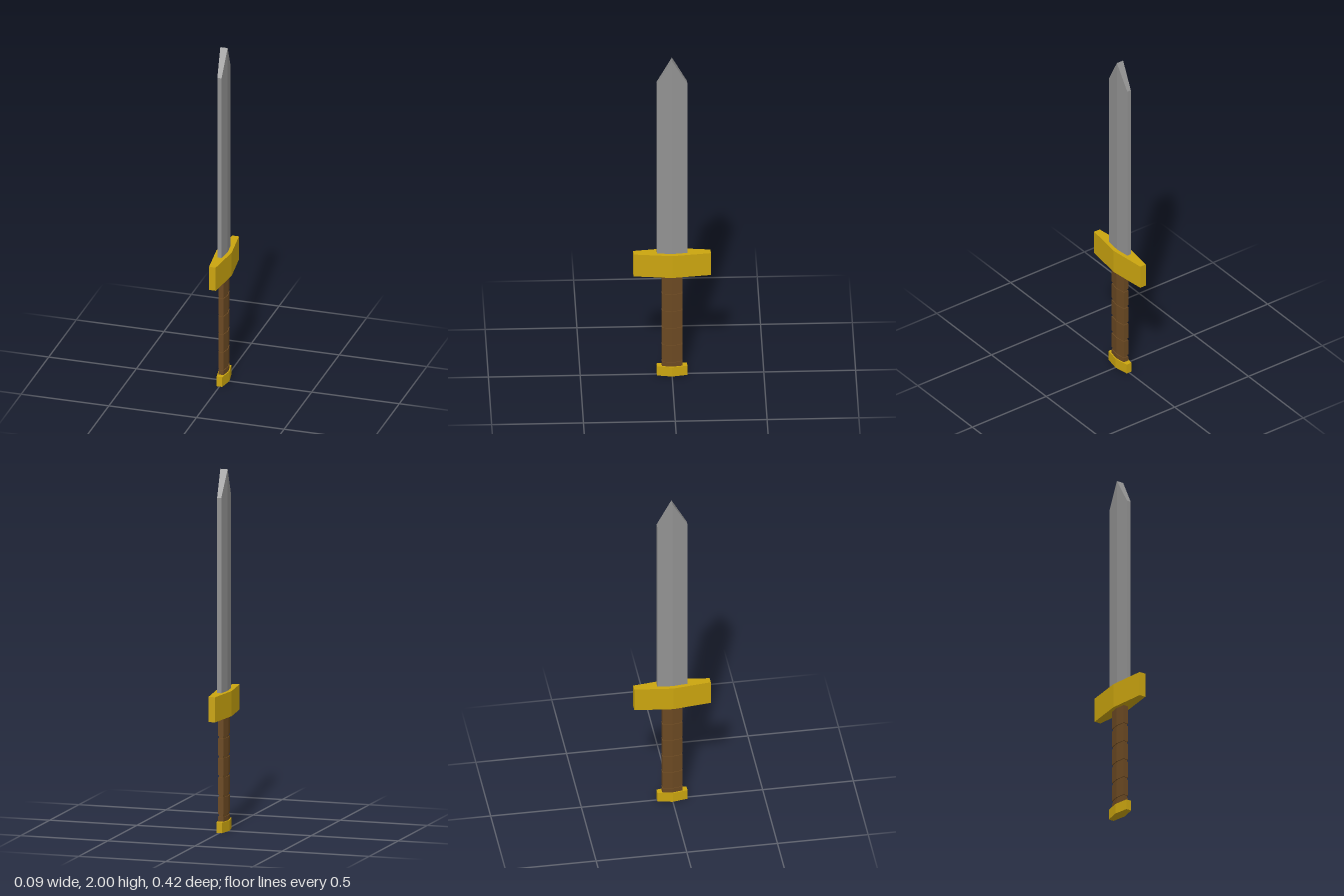
import * as THREE from 'three';

// Six-sided bar: widest (mid) at z = 0, narrower (end) at z = +-depth; shoulder lowers the top edges into a point
function hexBar(mid, end, depth, y0, y1, shoulder = 0) {
  const geo = new THREE.CylinderGeometry(1, 1, y1 - y0, 6, 1, false, Math.PI / 6);
  geo.translate(0, (y0 + y1) / 2, 0);
  const p = geo.attributes.position;
  for (let i = 0; i < p.count; i++) {
    const x = p.getX(i), y = p.getY(i), z = p.getZ(i);
    const atEnd = Math.abs(z) > 0.1;
    const isTop = y > (y0 + y1) / 2;
    p.setXYZ(
      i,
      Math.abs(x) < 0.1 ? 0 : Math.sign(x) * (atEnd ? end : mid),
      isTop && atEnd ? y - shoulder : y,
      atEnd ? Math.sign(z) * depth : 0
    );
  }
  const flat = geo.toNonIndexed();
  flat.computeVertexNormals();
  return flat;
}

export function createModel() {
  const steel = new THREE.MeshStandardMaterial({ name: 'steel', color: 0x929292 });
  const gold = new THREE.MeshStandardMaterial({ name: 'gold', color: 0xcba50f });
  const leather = new THREE.MeshStandardMaterial({ name: 'leather', color: 0x6b4922 });

  const group = new THREE.Group();
  group.name = 'sword';
  const add = (name, geometry, material, parent = group) => {
    const mesh = new THREE.Mesh(geometry, material);
    mesh.name = name;
    parent.add(mesh);
  };

  add('blade', hexBar(0.021, 0.012, 0.083, 0.77, 2, 0.147), steel);
  add('guard', hexBar(0.044, 0.019, 0.211, 0.635, 0.774), gold);
  add('pommel', hexBar(0.031, 0.016, 0.083, 0, 0.058), gold);

  // Grip: slim core with wrapped bands, leaving narrow grooves between them
  const grip = new THREE.Group();
  grip.name = 'grip';
  group.add(grip);
  add('gripCore', hexBar(0.02, 0.012, 0.051, 0.05, 0.64), leather, grip);
  const grooves = [0.092, 0.2, 0.308, 0.416, 0.524];
  const stops = [0.052, ...grooves, 0.642];
  for (let i = 0; i < stops.length - 1; i++) {
    add('gripWrap', hexBar(0.025, 0.015, 0.056, stops[i] + 0.007, stops[i + 1] - 0.007), leather, grip);
  }
  return group;
}
